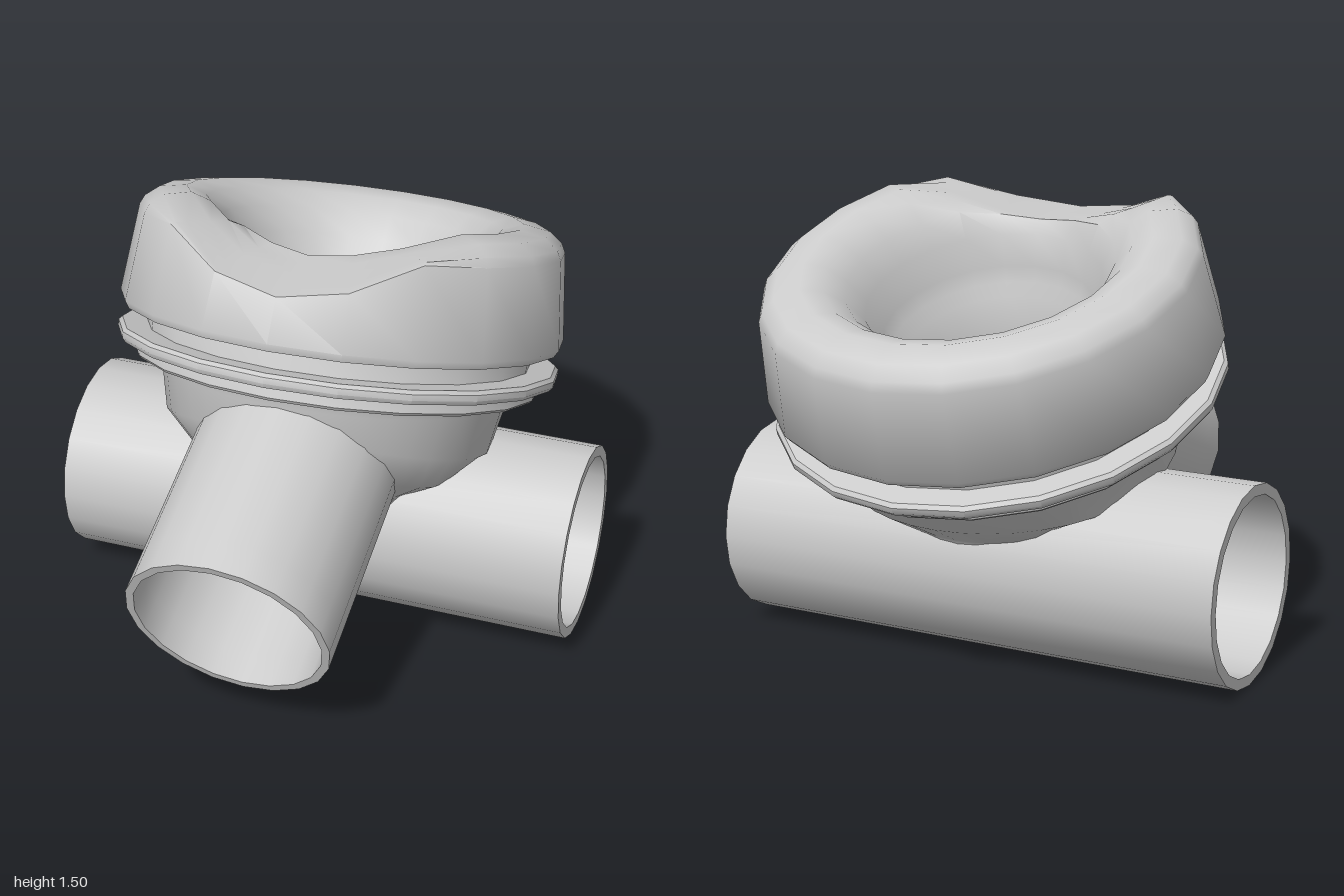
import * as THREE from 'three';
import { mergeVertices, toCreasedNormals } from 'three/addons/utils/BufferGeometryUtils.js';

const PIPE = { y: 0.335, z: -0.16, outer: 0.335, inner: 0.298, half: 0.895 };
const TILT = -20 * Math.PI / 180;

// Revolve a profile of [radius, height] pairs.
function revolve(profile, segments) {
  const points = profile.map(([r, h]) => new THREE.Vector2(r, h));
  return new THREE.LatheGeometry(points, segments);
}

// Closed tube wall with extra rows along its length.
function tube(outer, inner, length, rows, segments) {
  const profile = [];
  for (let i = 0; i <= rows; i++) profile.push([outer, length * i / rows]);
  for (let i = rows; i >= 0; i--) profile.push([inner, length * i / rows]);
  profile.push([outer, 0]);
  return revolve(profile, segments);
}

function place(geometry, x, y, z, rx, rz = 0) {
  return geometry.rotateZ(rz).rotateX(rx).translate(x, y, z);
}

// Move every vertex by a rule.
function deform(geometry, rule) {
  const p = geometry.attributes.position;
  const v = new THREE.Vector3();
  for (let i = 0; i < p.count; i++) {
    rule(v.fromBufferAttribute(p, i));
    p.setXYZ(i, v.x, v.y, v.z);
  }
  return geometry;
}

// Keep the bore of the through pipe free.
function clearBore(v) {
  const dy = v.y - PIPE.y, dz = v.z - PIPE.z;
  const d = Math.hypot(dy, dz), limit = 0.317;
  if (d < limit && d > 1e-6) {
    v.y = PIPE.y + dy * limit / d;
    v.z = PIPE.z + dz * limit / d;
  }
}

export function createModel() {
  const group = new THREE.Group();
  const material = new THREE.MeshStandardMaterial({ color: 0xcccccc, side: THREE.DoubleSide });

  function add(name, geometry, crease = 0.7) {
    geometry.deleteAttribute('uv');
    geometry.deleteAttribute('normal');
    const mesh = new THREE.Mesh(toCreasedNormals(mergeVertices(geometry, 1e-4), crease), material);
    mesh.name = name;
    group.add(mesh);
  }
  const tilted = (geometry) => place(geometry, 0, 1, -0.21, TILT);

  // Horizontal through pipe
  add('throughPipe', place(tube(PIPE.outer, PIPE.inner, PIPE.half * 2, 1, 20),
    PIPE.half, PIPE.y, PIPE.z, 0, Math.PI / 2));

  // Sloping front branch pipe
  const branch = place(tube(0.342, 0.315, 0.75, 7, 20), 0, 0.737, 0.175, 1.953);
  add('branchPipe', deform(branch, clearBore));

  // Tapering body, a little deeper at its sides
  const body = revolve([[0.16, -0.74], [0.26, -0.63], [0.34, -0.53], [0.45, -0.42],
    [0.56, -0.3], [0.59, -0.2], [0.62, -0.15]], 40);
  deform(body, (v) => {
    const r = Math.hypot(v.x, v.z);
    if (v.y < -0.25 && v.y > -0.5) v.y -= 0.06 * (v.x / r) ** 2;
  });
  add('body', deform(tilted(body), clearBore), 0.9);

  // Stepped flange and neck under the cap
  add('flange', tilted(revolve([[0.58, -0.165], [0.68, -0.165], [0.69, -0.155], [0.69, -0.115],
    [0.74, -0.115], [0.752, -0.1], [0.752, -0.08], [0.74, -0.068], [0.655, -0.068], [0.655, 0.01]], 20)));

  // Hollow cap with a rounded rim and funnel, scooped down at the front
  const cap = tilted(revolve([[0.65, 0], [0.74, 0], [0.755, 0.025], [0.72, 0.32], [0.705, 0.35],
    [0.66, 0.385], [0.57, 0.4], [0.5, 0.375], [0.44, 0.32], [0.39, 0.24], [0.35, 0.14],
    [0.33, 0.09], [0.3, 0.05], [0.25, -0.08], [0.22, -0.2]], 20));
  const up = new THREE.Vector3(0, Math.cos(TILT), Math.sin(TILT));
  deform(cap, (v) => {
    const over = v.y - (1.405 + 0.57 * v.x * v.x);
    if (over > 0) v.addScaledVector(up, -over / up.y);
  });
  add('cap', cap, 0.8);

  return group;
}
